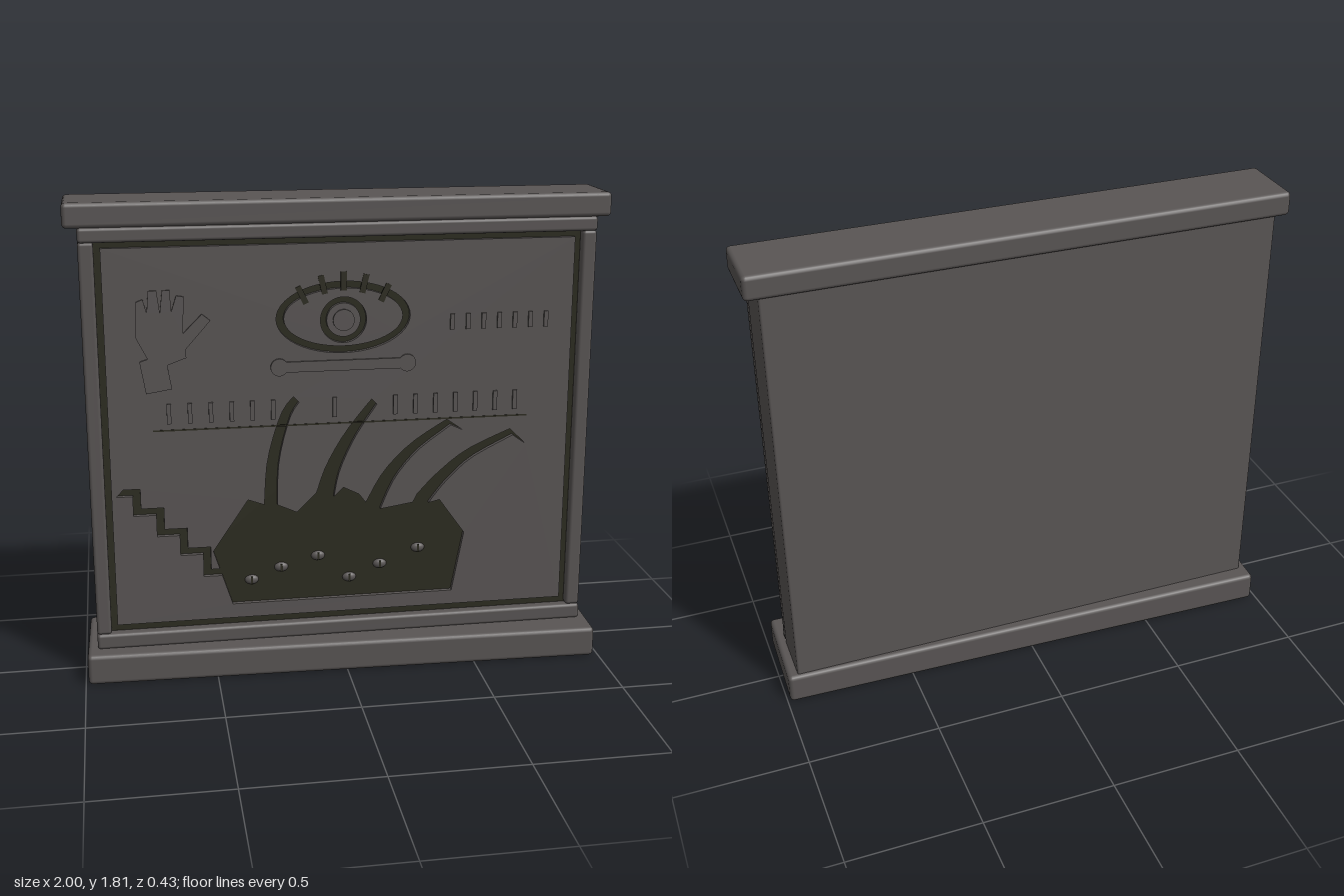
import * as THREE from 'three';
import { RoundedBoxGeometry } from 'three/addons/geometries/RoundedBoxGeometry.js';

const stone = new THREE.MeshStandardMaterial({ color: 0x595554 });
stone.name = 'stone';
const groove = new THREE.MeshStandardMaterial({ color: 0x2c2b20 });
groove.name = 'darkGroove';

const FLOOR = 0.062; // bottom of the carving
const FACE = 0.08; // front of the carved panel
const RELIEF = 0.008; // height of the shallow reliefs

const toPoints = (list) => list.map(([x, y]) => new THREE.Vector2(x, y));

// Closed oval outline, centred on x = 0
function oval(rx, ry, y) {
  const pts = [];
  for (let i = 0; i < 48; i++) {
    const a = (i / 48) * Math.PI * 2;
    pts.push([rx * Math.cos(a), y + ry * Math.sin(a)]);
  }
  return pts;
}

// Outline of a tapering tentacle, ending in a pointed hook
function tentacle(centre, wide, narrow, hook) {
  const curve = new THREE.SplineCurve(toPoints(centre));
  const left = [], right = [];
  for (let i = 0; i <= 10; i++) {
    const p = curve.getPoint(i / 10), t = curve.getTangent(i / 10);
    const w = wide + (narrow - wide) * (i / 10);
    left.push([p.x - t.y * w, p.y + t.x * w]);
    right.unshift([p.x + t.y * w, p.y - t.x * w]);
  }
  return [...left, hook, ...right];
}

// Creature body, tentacles and stepped tail as one outline
function creatureOutline() {
  const xs = [-0.842, -0.78, -0.695, -0.61, -0.524];
  const ys = [0.73, 0.652, 0.566, 0.485, 0.394];
  const steps = [[xs[0], ys[0]]];
  for (let i = 1; i < 5; i++) steps.push([xs[i], ys[i - 1]], [xs[i], ys[i]]);
  const t = 0.014;
  return [
    [0.43, 0.26], [-0.43, 0.26], [-0.468, 0.38],
    ...steps.map(([x, y]) => [x - t, y - t]).reverse(),
    ...steps.map(([x, y]) => [x + t, y + t]),
    [-0.477, 0.408], [-0.5, 0.48], [-0.365, 0.68],
    ...tentacle([[-0.278, 0.655], [-0.267, 0.83], [-0.22, 1.0], [-0.176, 1.067]], 0.025, 0.015, [-0.112, 0.99]),
    [-0.18, 0.62],
    ...tentacle([[-0.07, 0.685], [-0.04, 0.79], [0.027, 0.92], [0.118, 1.045]], 0.035, 0.014, [0.17, 0.99]),
    [0, 0.71], [0.06, 0.68],
    ...tentacle([[0.115, 0.63], [0.176, 0.75], [0.273, 0.858], [0.406, 0.95]], 0.032, 0.014, [0.46, 0.917]),
    [0.27, 0.635],
    ...tentacle([[0.31, 0.65], [0.38, 0.73], [0.487, 0.82], [0.652, 0.9]], 0.03, 0.014, [0.71, 0.85]),
    [0.375, 0.64], [0.475, 0.5],
  ];
}

export function createModel() {
  const model = new THREE.Group();
  model.name = 'carvedStoneMural';

  const add = (name, geometry, material, x = 0, y = 0, z = 0) => {
    const mesh = new THREE.Mesh(geometry, material);
    mesh.name = name;
    mesh.position.set(x, y, z);
    model.add(mesh);
    return mesh;
  };

  // Rounded block given by its extents
  const block = (name, x0, x1, y0, y1, z0, z1, r = 0.012) =>
    add(name, new RoundedBoxGeometry(x1 - x0, y1 - y0, z1 - z0, 2, r), stone,
      (x0 + x1) / 2, (y0 + y1) / 2, (z0 + z1) / 2);

  // Flat cut-out with optional holes
  const cutout = (name, outline, holes, z0, z1) => {
    const shape = new THREE.Shape(toPoints(outline));
    holes.forEach((h) => shape.holes.push(new THREE.Path(toPoints(h))));
    return add(name, new THREE.ExtrudeGeometry(shape, { depth: z1 - z0, bevelEnabled: false }),
      stone, 0, 0, z0);
  };

  // Main slab, cap and slightly turned plinth
  block('slab', -0.95, 0.95, 0.11, 1.73, -0.15, 0.06, 0.008);
  block('cap', -1, 1, 1.72, 1.81, -0.165, 0.105, 0.016);
  block('plinth', -0.985, 0.985, 0, 0.118, -0.191, 0.191, 0.016).rotation.y = -0.0265;

  // Raised frame
  block('frameTop', -0.95, 0.95, 1.668, 1.722, 0.057, 0.105);
  block('frameBottom', -0.95, 0.95, 0.116, 0.176, 0.057, 0.105);
  for (const s of [-1, 1]) {
    const x = s * 0.9225;
    block(s > 0 ? 'framePostLeft' : 'framePostRight', x - 0.0275, x + 0.0275, 0.174, 1.67, 0.057, 0.1);
  }

  // Dark floor, seen through the grooves
  add('grooveFloor', new THREE.PlaneGeometry(1.8, 1.5), groove, 0, 0.92, FLOOR);

  // Carved panel with cut-outs for the creature and the eye
  const panel = [[-0.872, 0.203], [0.872, 0.203], [0.872, 1.645], [-0.872, 1.645]];
  cutout('carvedPanel', panel, [creatureOutline(), oval(0.25, 0.134, 1.37)], FLOOR, FACE);
  cutout('eyeWhite', oval(0.222, 0.108, 1.37), [oval(0.086, 0.086, 1.36)], FLOOR, FACE);
  cutout('iris', oval(0.063, 0.063, 1.36), [], FLOOR, FACE);
  cutout('pupil', oval(0.04, 0.04, 1.36), [], FACE, FACE + RELIEF);

  // Eyelashes
  for (let i = -2; i <= 2; i++) {
    const lash = add('eyelash', new THREE.BoxGeometry(0.022, 0.07, 0.006), groove,
      i * 0.077, 1.505 - i * i * 0.012, FACE);
    lash.rotation.z = -i * 0.22;
  }

  // Small eyes on the creature
  const eyes = [[-0.355, 0.35], [-0.24, 0.395], [-0.097, 0.433], [0.025, 0.337], [0.145, 0.385], [0.295, 0.443]];
  for (const [x, y] of eyes) {
    const ball = add('creatureEye', new THREE.SphereGeometry(1, 16, 10), stone, x, y, FLOOR);
    ball.scale.set(0.027, 0.019, 0.014);
    add('creatureEyeSlit', new THREE.BoxGeometry(0.008, 0.03, 0.005), groove, x, y, FLOOR + 0.013);
  }

  // Shallow hand relief
  cutout('hand', [
    [-0.73, 1.11], [-0.635, 1.125], [-0.65, 1.215], [-0.58, 1.24], [-0.583, 1.27], [-0.49, 1.375],
    [-0.52, 1.4], [-0.59, 1.33], [-0.583, 1.465], [-0.61, 1.47], [-0.63, 1.41], [-0.632, 1.49],
    [-0.66, 1.49], [-0.67, 1.41], [-0.68, 1.49], [-0.71, 1.49], [-0.717, 1.41], [-0.73, 1.46],
    [-0.755, 1.45], [-0.76, 1.32], [-0.72, 1.24], [-0.75, 1.23],
  ], [], FACE, FACE + RELIEF);

  // Shallow bar with round ends
  const bar = [];
  for (const s of [1, -1]) {
    for (let i = 0; i <= 16; i++) {
      const a = -2.5 + (i / 16) * 5;
      bar.push([s * (0.24 + 0.033 * Math.cos(a)), 1.19 + s * 0.033 * Math.sin(a)]);
    }
  }
  cutout('roundEndedBar', bar, [], FACE, FACE + RELIEF);

  // Plain tally strokes and the scored line under them
  const stroke = (x, y, h) =>
    add('tallyStroke', new THREE.BoxGeometry(0.016, h, RELIEF * 2), stone, x, y, FACE);
  for (let i = 0; i < 18; i++) {
    const x = -0.65 + i * 0.077;
    const overCarving = (x > -0.26 && x < -0.08) || (x > 0.04 && x < 0.19);
    if (!overCarving) stroke(x, 1.03, 0.075);
  }
  for (let i = 0; i < 7; i++) stroke(0.41 + i * 0.06, 1.34, 0.06);
  add('scoredLine', new THREE.BoxGeometry(1.42, 0.006, 0.003), groove, 0, 0.966, FACE);

  return model;
}
